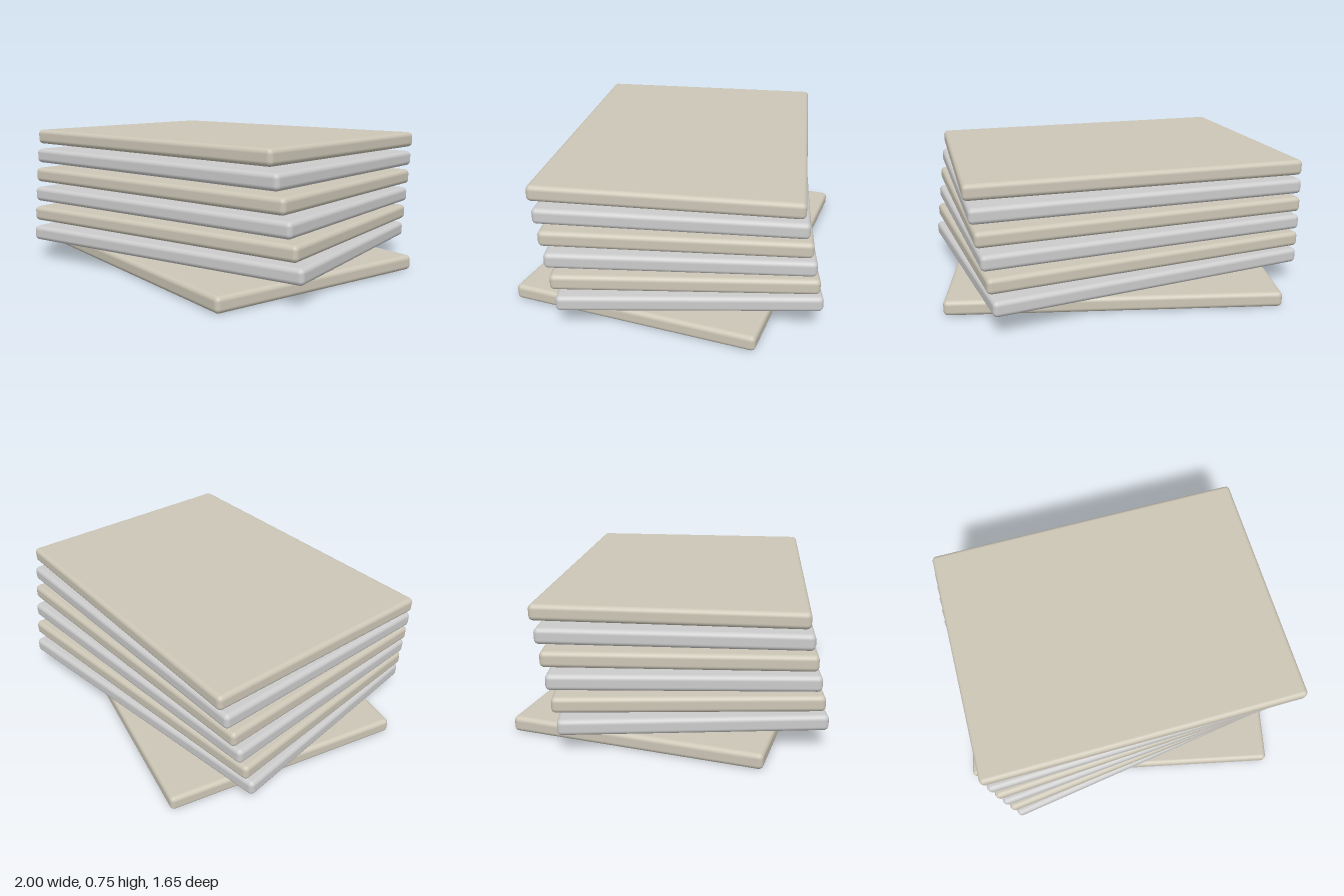
import * as THREE from 'three';
import { RoundedBoxGeometry } from 'three/addons/geometries/RoundedBoxGeometry.js';

const WIDTH = 1.785, DEPTH = 1.34, THICKNESS = 0.083, PITCH = 0.1117, COUNT = 7;

export function createModel() {
  const group = new THREE.Group();
  group.name = 'slabStack';

  const slab = new RoundedBoxGeometry(WIDTH, THICKNESS, DEPTH, 4, 0.025);
  const warm = new THREE.MeshStandardMaterial({ color: 0xccc6b6 });
  const grey = new THREE.MeshStandardMaterial({ color: 0xcccccc });

  // Floating slabs: the lowest turns one way, the rest fan back the other way
  for (let i = 0; i < COUNT; i++) {
    const mesh = new THREE.Mesh(slab, i % 2 ? grey : warm);
    const degrees = i === 0 ? -11.2 : 9.3 - (i - 1) * 1.66;
    mesh.name = `slab${i + 1}`;
    mesh.position.y = THICKNESS / 2 + i * PITCH;
    mesh.rotation.y = THREE.MathUtils.degToRad(degrees);
    group.add(mesh);
  }
  return group;
}
